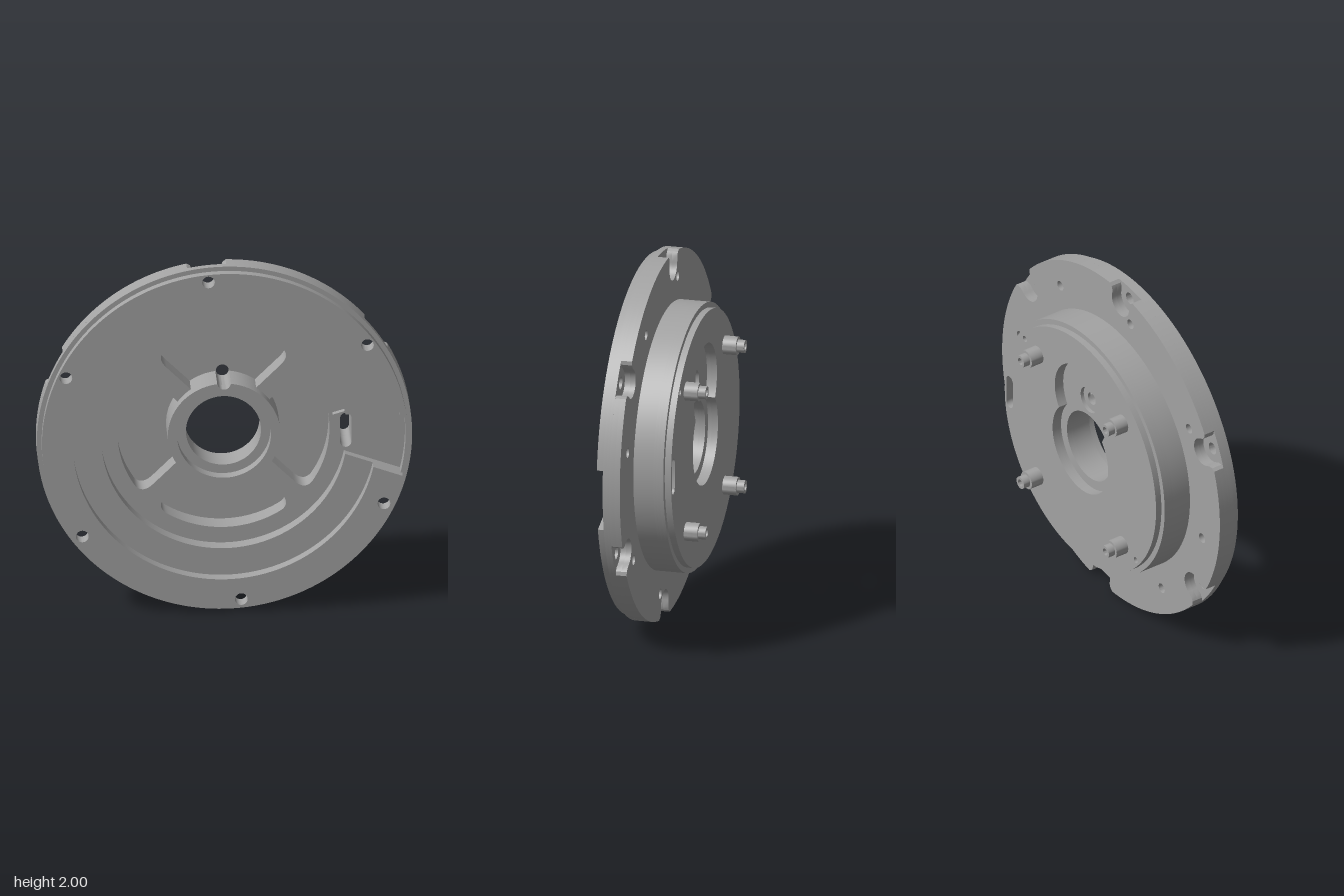
import * as THREE from 'three';
import { toCreasedNormals } from 'three/addons/utils/BufferGeometryUtils.js';

const V = (x, y) => new THREE.Vector2(x, y);
const polar = (r, a) => V(r * Math.cos(a), r * Math.sin(a));
const TAU = Math.PI * 2, DEG = Math.PI / 180;

// points along an arc about (cx, cy), end included
function arc(r, a0, a1, n = 96, cx = 0, cy = 0) {
  return Array.from({ length: n + 1 }, (_, i) => polar(r, a0 + (a1 - a0) * i / n).add(V(cx, cy)));
}
const circle = (r, n = 128, cx = 0, cy = 0) => arc(r, 0, TAU, n, cx, cy).slice(0, -1);
const angle = (p) => Math.atan2(p.y, p.x);

// side channel: straight upper edge, sloping lower edge, a rounded nib in each
const CHANNEL_END = 0.965;
const upperPt = (r) => V(Math.sqrt(r * r - 0.0121), 0.11);
function lowerPt(r) {
  let x = r;
  for (let i = 0; i < 30; i++) {
    const y = -0.10 - 0.36 * (x - 0.587);
    x = Math.sqrt(r * r - y * y);
  }
  return V(x, -0.10 - 0.36 * (x - 0.587));
}
function nib(base, dir, length) {
  const c = base.clone().addScaledVector(polar(1, dir), length);
  const side = polar(0.034, dir - Math.PI / 2);
  return [base.clone().add(side), ...arc(0.034, dir - Math.PI / 2, dir + Math.PI / 2, 14, c.x, c.y), base.clone().sub(side)];
}
const lowerEdge = (r0, r1) => [lowerPt(r0), ...nib(V(0.9, -0.213), -109.8 * DEG, 0.066).reverse()
  .sort((a, b) => 0), lowerPt(r1)];
const upperEdge = (r0, r1) => [upperPt(r0), ...nib(V(0.9, 0.11), 90 * DEG, 0.02), upperPt(r1)];

// round opening of radius r joined with the side channel
function openingWithChannel(r) {
  const lo = lowerEdge(r, CHANNEL_END), up = upperEdge(CHANNEL_END, r);
  return [...lo, ...arc(CHANNEL_END, angle(lo.at(-1)), angle(up[0]), 12).slice(1, -1), ...up,
    ...arc(r, angle(up.at(-1)), angle(lo[0]) + TAU, 160).slice(1, -1)];
}

// front rim ring broken by the channel
function brokenRing(r, outer) {
  const lo = lowerEdge(r, outer).reverse(), up = upperEdge(outer, r).reverse();
  return [...arc(outer, angle(up.at(-1)), angle(lo[0]) + TAU, 160).slice(1, -1), ...lo,
    ...arc(r, angle(lo.at(-1)) + TAU, angle(up[0]), 160).slice(1, -1), ...up];
}

// floor opening with the slotted pad left standing
function openingWithPad(r) {
  const up = upperPt(r), lo = lowerPt(r);
  return [...arc(r, angle(up), angle(lo) + TAU, 160), V(0.58, -0.08), V(0.60, -0.105).lerp(V(0.58, -0.08), 0.4),
    V(0.58, 0.09)].filter((p, i, a) => i !== a.length - 2);
}

// flange outline with six flared U notches
const boltAngles = Array.from({ length: 6 }, (_, k) => (35.4 + 60 * k) * DEG);
function notchedDisc() {
  const half = Math.asin(0.105), pts = [];
  for (const a of boltAngles) {
    const local = [V(0.982, -0.087), V(0.962, -0.078),
      ...arc(0.078, -Math.PI / 2, -Math.PI * 1.5, 18, 0.925, 0), V(0.962, 0.078), V(0.982, 0.087)];
    pts.push(...local.map((p) => p.rotateAround(V(0, 0), a)));
    pts.push(...arc(1, a + half, a + 60 * DEG - half, 24));
  }
  return pts;
}

// hub radius, bitten by the small through hole above the bore
function hubR(a) {
  const f = a - Math.PI / 2, q = 0.035 ** 2 - (0.3 * Math.sin(f)) ** 2;
  return q > 0 && Math.cos(f) > 0 ? 0.3 * Math.cos(f) - Math.sqrt(q) : 0.3;
}

// one lightening pocket between two diagonal spokes
function pocket(mid) {
  const edge = (r) => 45 * DEG - Math.asin(0.05 / r);
  const R = 0.565, a = edge(0.3), b = edge(R), c = 33 * DEG;
  const corner = (s) => new THREE.QuadraticBezierCurve(polar(0.48, mid + s * edge(0.48)),
    polar(R, mid + s * b), polar(R, mid + s * c)).getPoints(10);
  const inner = Array.from({ length: 61 }, (_, i) => {
    const t = mid + a - 2 * a * i / 60;
    return polar(hubR(t), t);
  });
  return [...inner, ...corner(-1), ...arc(R, mid - c, mid + c, 32).slice(1, -1), ...corner(1).reverse()];
}

// keyhole recess: a bore circle joined to a circle above it
function keyhole() {
  const r1 = 0.255, r2 = 0.235, d = 0.29;
  const y = (d * d + r1 * r1 - r2 * r2) / (2 * d), x = Math.sqrt(r1 * r1 - y * y);
  const a = Math.atan2(y, x), b = Math.atan2(y - d, x);
  return [...arc(r2, b, Math.PI - b, 64, 0, d), ...arc(r1, Math.PI - a, TAU + a, 64).slice(1, -1)];
}

export function createModel() {
  const model = new THREE.Group();
  const metal = new THREE.MeshStandardMaterial({ color: 0xa3a3a3 });
  metal.name = 'grey metal';

  const add = (name, geometry) => {
    const mesh = new THREE.Mesh(toCreasedNormals(geometry, 0.5), metal);
    mesh.name = name;
    mesh.position.y = 1;
    model.add(mesh);
    return mesh;
  };
  // flat plate between two depths, with holes
  const plate = (name, z0, z1, outline, holes = []) => {
    const shape = new THREE.Shape(outline);
    shape.holes = holes.map((h) => new THREE.Path(h));
    add(name, new THREE.ExtrudeGeometry(shape, { depth: z1 - z0, bevelEnabled: false })).position.z = z0;
  };

  const boltHoles = boltAngles.map((a) => circle(0.034, 24, 0.932 * Math.cos(a), 0.932 * Math.sin(a)));
  const blindHoles = Array.from({ length: 8 }, (_, k) => {
    const p = polar(0.855, (12 + 45 * k) * DEG);
    return circle(0.028, 20, p.x, p.y);
  });
  const slot = [...arc(0.03, 0, Math.PI, 12, 0.65, 0.07), ...arc(0.03, Math.PI, TAU, 12, 0.65, -0.07)];
  const bore = circle(0.2, 96);
  const pockets = [0, 1, 2, 3].map((k) => pocket(k * Math.PI / 2));
  const dowels = [40, 220].map((a) => circle(0.018, 16, 0.665 * Math.cos(a * DEG), 0.665 * Math.sin(a * DEG)));

  // flange, front to back
  plate('frontRim', 0.185, 0.225, brokenRing(0.81, 0.975), boltHoles);
  plate('flangeFront', 0.165, 0.185, circle(1, 192), [openingWithChannel(0.81), ...boltHoles]);
  plate('flangeLedge', 0.15, 0.165, circle(1, 192), [openingWithChannel(0.655), ...boltHoles]);
  plate('flangeNotchedFront', 0.12, 0.15, notchedDisc(), [openingWithChannel(0.655)]);
  plate('flangeNotchedBack', 0.09, 0.12, notchedDisc(), [openingWithPad(0.655), slot, ...blindHoles]);

  // hub ring
  const hub = Array.from({ length: 360 }, (_, i) => polar(hubR(i * DEG), i * DEG));
  plate('hubRing', 0.09, 0.15, hub, [circle(0.25, 96)]);

  // rear drum with pockets, web and keyhole recess
  plate('drumPockets', -0.02, 0.09, circle(0.725, 160), [bore, slot, ...pockets]);
  plate('drumWeb', -0.035, -0.02, circle(0.725, 160), [bore, slot, circle(0.035, 24, 0, 0.3)]);
  plate('drumCounterbore', -0.055, -0.035, circle(0.725, 160), [bore, slot, circle(0.075, 32, 0, 0.3)]);
  plate('drumBack', -0.075, -0.055, circle(0.725, 160), [keyhole(), slot]);
  plate('drumStep', -0.11, -0.075, circle(0.695, 160), [keyhole(), slot, ...dowels]);

  // four stepped, hollow-ended pins
  const profile = [[0.05, 0.1], [0.05, 0.185], [0.035, 0.185], [0.035, 0.225], [0.02, 0.225], [0.02, 0.185], [0, 0.185]];
  for (const sx of [-1, 1]) for (const sy of [-1, 1]) {
    const pin = add('pin', new THREE.LatheGeometry(profile.map(([r, h]) => V(r, h)), 32).rotateX(-Math.PI / 2));
    pin.position.set(sx * 0.39, 1 + sy * 0.395, 0);
  }
  return model;
}
